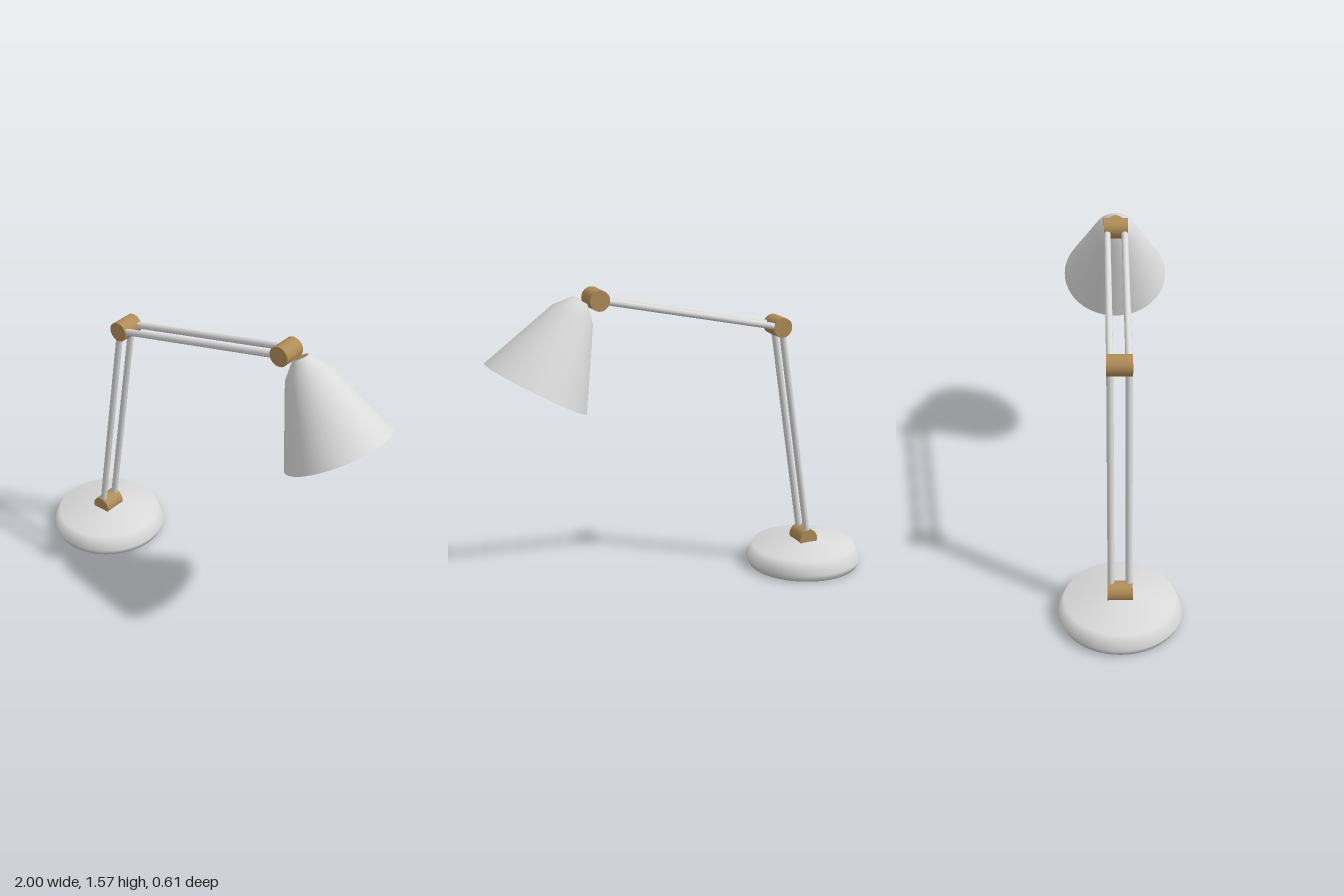
import * as THREE from 'three';

const enamel = new THREE.MeshStandardMaterial({ color: 0xdadada });
enamel.name = 'pale grey enamel';
enamel.side = THREE.DoubleSide;
const brass = new THREE.MeshStandardMaterial({ color: 0xb08d57 });
brass.name = 'brass';
const glass = new THREE.MeshStandardMaterial({ color: 0xf5e3bf });
glass.name = 'warm bulb glass';

const BASE = new THREE.Vector3(-0.695, 0.145, 0);
const ELBOW = new THREE.Vector3(-0.515, 1.3, 0);
const WRIST = new THREE.Vector3(0.457, 1.516, 0);

function add(parent, name, geometry, material) {
  const mesh = new THREE.Mesh(geometry, material);
  mesh.name = name;
  parent.add(mesh);
  return mesh;
}

// Surface of revolution from [radius, height] pairs, listed bottom to top
function lathe(points) {
  return new THREE.LatheGeometry(points.map(([r, y]) => new THREE.Vector2(r, y)), 48);
}

// Hinge barrel lying along z
function addJoint(parent, name, at) {
  const mesh = add(parent, name, new THREE.CylinderGeometry(0.05, 0.05, 0.12, 32), brass);
  mesh.rotation.x = Math.PI / 2;
  mesh.position.copy(at);
}

// Pair of parallel rods between two hinges
function addArm(parent, name, from, to) {
  const arm = new THREE.Group();
  arm.name = name;
  const span = to.clone().sub(from);
  for (const side of [-1, 1]) {
    const rod = add(arm, 'rod', new THREE.CylinderGeometry(0.0165, 0.0165, span.length(), 16), enamel);
    rod.position.z = side * 0.0435;
  }
  arm.position.copy(from).addScaledVector(span, 0.5);
  arm.rotation.z = Math.atan2(-span.x, span.y);
  parent.add(arm);
}

export function createModel() {
  const lamp = new THREE.Group();
  lamp.name = 'deskLamp';

  // Weighted foot
  const foot = add(lamp, 'base',
    lathe([[0, 0], [0.288, 0], [0.305, 0.037], [0.27, 0.104], [0, 0.136]]), enamel);
  foot.position.x = BASE.x;

  // Arms and hinges
  addArm(lamp, 'lowerArm', BASE, ELBOW);
  addArm(lamp, 'upperArm', ELBOW, WRIST);
  addJoint(lamp, 'baseJoint', BASE);
  addJoint(lamp, 'elbowJoint', ELBOW);
  addJoint(lamp, 'headJoint', WRIST);

  // Head: origin at the centre of the shade opening, +y towards the hinge
  const head = new THREE.Group();
  head.name = 'head';
  head.position.set(0.766, 1.112, 0);
  head.rotation.z = 0.518;
  lamp.add(head);
  add(head, 'shade', lathe([[0.268, 0], [0.106, 0.39], [0.039, 0.466]]), enamel);
  const socket = add(head, 'socket', new THREE.CylinderGeometry(0.039, 0.039, 0.19, 32), brass);
  socket.position.y = 0.371;
  const bulb = add(head, 'bulb', new THREE.SphereGeometry(0.082, 32, 20), glass);
  bulb.position.y = 0.22;

  return lamp;
}
